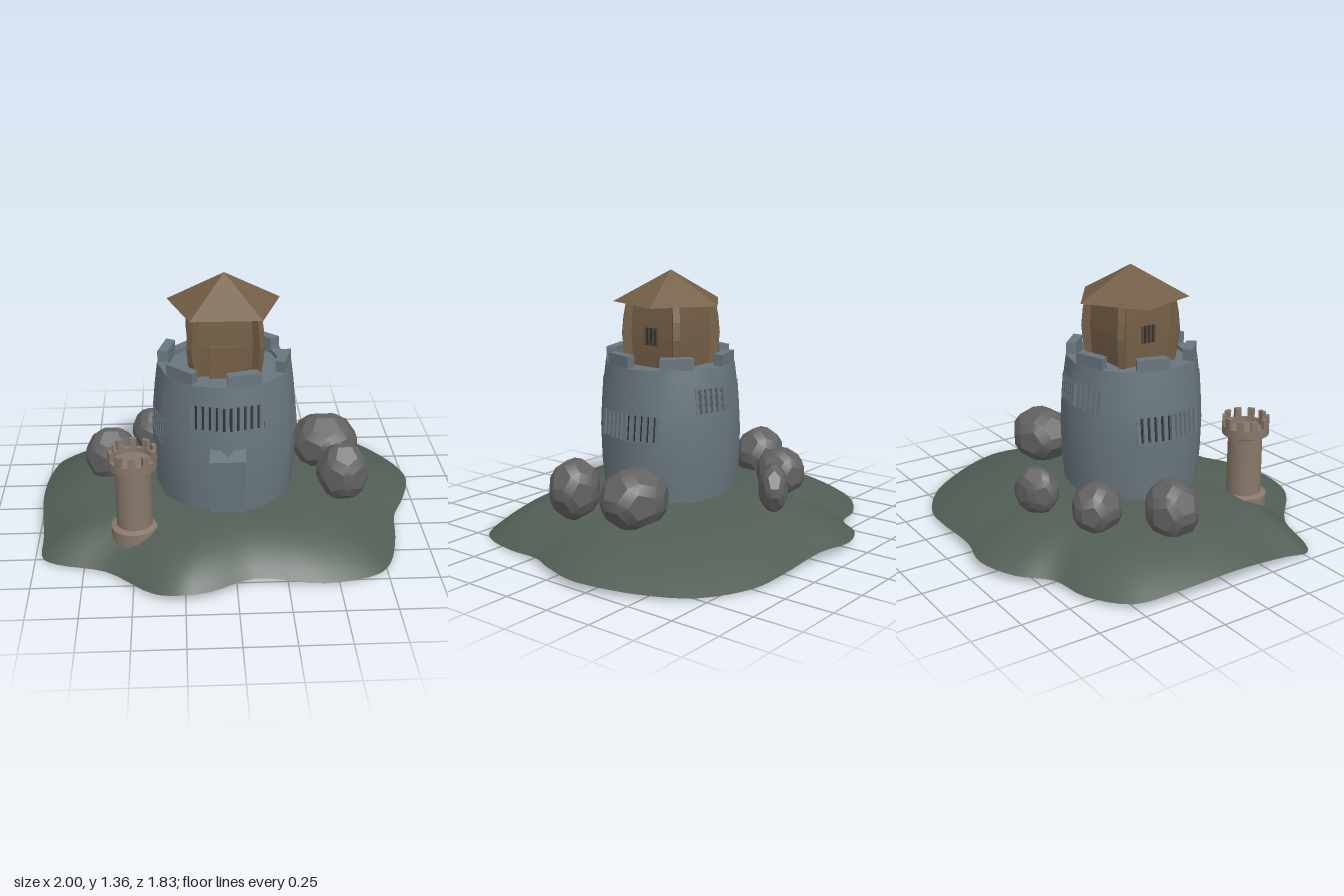
import * as THREE from 'three';
import { toCreasedNormals } from 'three/addons/utils/BufferGeometryUtils.js';
import { ConvexGeometry } from 'three/addons/geometries/ConvexGeometry.js';

const mat = (color, flat = false) =>
  new THREE.MeshStandardMaterial({ color, flatShading: flat, side: THREE.DoubleSide });
const grass = mat(0x525e55), stone = mat(0x69767e), dark = mat(0x2b3034), wood = mat(0x745f46, true);
const woodDark = mat(0x5c4a35, true), rockMat = mat(0x626262), clay = mat(0x87786b);

function add(parent, name, geo, material, x = 0, y = 0, z = 0) {
  const m = new THREE.Mesh(geo, material);
  m.name = name;
  m.position.set(x, y, z);
  parent.add(m);
  return m;
}

// Indexed grid of quads; point(i, j) gives [x, y, z], columns wrap around
function grid(cols, rows, point, skip = () => false) {
  const pos = [], idx = [];
  for (let j = 0; j < rows; j++) for (let i = 0; i < cols; i++) pos.push(...point(i, j));
  for (let j = 0; j < rows - 1; j++) for (let i = 0; i < cols; i++) {
    if (skip(i, j)) continue;
    const k = (i + 1) % cols;
    const a = j * cols + i, b = j * cols + k, c = b + cols, d = a + cols;
    idx.push(a, b, c, a, c, d);
  }
  const g = new THREE.BufferGeometry();
  g.setAttribute('position', new THREE.Float32BufferAttribute(pos, 3));
  g.setIndex(idx);
  g.computeVertexNormals();
  return g;
}

const vectors = (list) => list.map((p) => new THREE.Vector2(...p));
const polar = (r, a) => [r * Math.sin(a), r * Math.cos(a)];

// Flat outline pushed out to a depth, centred on z = 0
const slab = (outline, depth) =>
  new THREE.ExtrudeGeometry(new THREE.Shape(outline), { depth, bevelEnabled: false }).translate(0, 0, -depth / 2);

// Upright prism over a floor plan of [x, z] corners
function prism(plan, height, hole) {
  const flip = (list) => vectors(list.map(([x, z]) => [x, -z]));
  const s = new THREE.Shape(flip(plan));
  if (hole) s.holes.push(new THREE.Path(flip(hole)));
  return new THREE.ExtrudeGeometry(s, { depth: height, bevelEnabled: false }).rotateX(-Math.PI / 2);
}

// Hill: wavy rim [x, y, z] rising to a rounded plateau, steeper at the front left
function hill() {
  const rim = [
    [1, .04, -.15], [.98, .035, -.3], [.89, .02, -.51], [.75, .01, -.7], [.51, .015, -.84], [.33, .03, -.87],
    [0, .05, -.88], [-.2, .05, -.92], [-.4, .04, -.84], [-.53, .03, -.7], [-.72, .02, -.65], [-.92, .03, -.51],
    [-.98, .06, -.3], [-1, .08, .02], [-.97, .04, .35], [-.96, .015, .51], [-.88, .015, .57], [-.64, .02, .65],
    [-.4, .035, .87], [-.26, .05, .91], [-.13, .045, .88], [.09, .045, .78], [.42, .02, .8], [.7, .003, .71],
    [.78, .003, .61], [.84, .01, .4], [.87, .025, .2], [.94, .035, .05],
  ].map((p) => new THREE.Vector3(...p));
  const curve = new THREE.CatmullRomCurve3(rim, true);
  const cols = 112, rows = 18;
  const pts = Array.from({ length: cols }, (_, i) => curve.getPoint(1 - i / cols));
  return grid(cols, rows, (i, j) => {
    const s = Math.max(1 - j / (rows - 1), 0.002), p = pts[i];
    const power = 3.6 + 0.85 * (p.z - p.x) / Math.hypot(p.x, p.z);
    return [p.x * s, p.y + (0.22 - p.y) * (1 - s ** power), p.z * s];
  });
}

// Tower wall: twelve sides, slightly barrelled, window bays left open
const wallCurve = new THREE.SplineCurve(vectors([[.19, .353], [.35, .37], [.53, .372], [.7, .357], [.95, .335]]));
const wallR = (y) => wallCurve.getPoint((y - .19) / .76).y;
const levels = [.19, .35, .53, .66, .67, .79, .89];
const bays = [0, 1, 2, 3].map((q) => ({ turn: q * Math.PI / 2, col: q * 6, y0: q % 2 ? .53 : .67, y1: q % 2 ? .66 : .79 }));

function wall(inset, skip) {
  return toCreasedNormals(grid(24, levels.length, (i, j) => {
    const r = (wallR(levels[j]) - inset) * (i % 2 ? Math.cos(Math.PI / 12) : 1);
    const [x, z] = polar(r, i * Math.PI / 12);
    return [x, levels[j], z];
  }, skip), 0.6);
}

function tower() {
  const t = new THREE.Group();
  t.name = 'tower';
  t.position.set(-.03, 0, .083);
  add(t, 'towerWall', wall(0, (i, j) => bays.some((b) =>
    levels[j] >= b.y0 && levels[j + 1] <= b.y1 && (i - b.col + 26) % 24 < 4)), stone);
  add(t, 'towerInnerWall', wall(.045, (i, j) => j < 1), dark);

  // parapet walk and six merlons
  const ring = (r) => Array.from({ length: 12 }, (_, k) => polar(r, k * Math.PI / 6));
  add(t, 'parapetRim', prism(ring(.34), .03, ring(.285)), stone, 0, .86, 0);
  add(t, 'towerFloor', prism(ring(.3), .02), stone, 0, .85, 0);
  for (let k = 0; k < 12; k += 2) {
    const a = k * Math.PI / 6, b = a + Math.PI / 6;
    add(t, 'merlon', prism([polar(.338, a), polar(.338, b), polar(.285, b), polar(.285, a)], .062), stone, 0, .888, 0);
  }

  // barred windows, each wrapped around one corner of the wall
  for (const b of bays) {
    const w = new THREE.Group();
    w.name = 'barredWindow';
    w.rotation.y = b.turn;
    const ym = (b.y0 + b.y1) / 2, r = wallR(ym) - .008;
    for (let k = -5; k <= 5; k++) {
      const f = Math.abs(k) / 5.2, z = r * (1 - f * (1 - Math.cos(Math.PI / 6)));
      const bar = add(w, 'windowBar', new THREE.BoxGeometry(.02, b.y1 - b.y0 + .01, .018), stone, k / 5.2 * r / 2, ym, z);
      bar.rotation.set(-.09, Math.sign(k) * Math.PI / 12, 0);
    }
    t.add(w);
  }

  // doorway block leaning slightly out, with a sloped top
  const side = vectors([[.25, .2], [.349, .2], [.38, .51], [.362, .57], [.25, .57]]);
  add(t, 'towerDoor', slab(side, .18), stone).rotation.y = -Math.PI / 2;
  return t;
}

// Square wooden lookout with bowed corner posts and a five-sided roof
function lookout() {
  const g = new THREE.Group();
  g.name = 'lookout';
  g.position.set(-.03, 0, .075);
  const bow = [[.15, .86], [.156, .95], [.159, 1.03], [.156, 1.12], [.15, 1.21]];
  const profile = (offset, stretch) => vectors(bow.map(([h, y]) => [(.15 + (h - .15) * stretch + offset) * Math.SQRT2, y]));
  add(g, 'lookoutWall', new THREE.LatheGeometry(profile(0, 1), 4, Math.PI / 4), wood);

  const post = slab([...profile(.012, 2), ...profile(-.015, 1).reverse()], .035);
  for (let k = 0; k < 4; k++)
    add(g, 'cornerPost', post, wood).rotation.y = Math.PI / 4 + k * Math.PI / 2;

  add(g, 'lookoutRoof', new THREE.ConeGeometry(.3, .165, 5, 1, false, Math.PI), wood, 0, 1.2775, 0);
  const leaf = vectors([[-.083, .87], [.083, .87], [.076, 1.035], [-.076, 1.035]]);
  add(g, 'lookoutDoor', slab(leaf, .05), wood, 0, 0, .155);

  // small barred windows on the two side walls
  for (const s of [-1, 1]) {
    const w = new THREE.Group();
    w.name = 'lookoutWindow';
    w.rotation.y = s * Math.PI / 2;
    add(w, 'windowOpening', new THREE.BoxGeometry(.08, .09, .01), dark, 0, 1.03, .156);
    for (let k = -1.5; k <= 1.5; k++)
      add(w, 'windowBar', new THREE.BoxGeometry(.01, .09, .01), woodDark, k * .024, 1.03, .16);
    g.add(w);
  }
  return g;
}

// Small round turret
function turret() {
  const g = new THREE.Group();
  g.name = 'turret';
  g.position.set(-.495, 0, .475);
  const prof = vectors([[.118, .1], [.118, .185], [.09, .195], [.088, .5], [.12, .515], [.12, .56], [.1, .56], [.1, .535], [0, .535]]);
  add(g, 'turretBody', toCreasedNormals(new THREE.LatheGeometry(prof, 32), 0.6), clay);
  const n = 10, w = Math.PI / n / 2;
  for (let k = 0; k < n; k++) {
    const a = k * 2 * Math.PI / n, plan = [];
    for (const f of [-1, 0, 1]) plan.push(polar(.12, a + f * w));
    for (const f of [1, 0, -1]) plan.push(polar(.1, a + f * w));
    add(g, 'turretMerlon', prism(plan, .055), clay, 0, .555, 0);
  }
  return g;
}

// Boulder: dodecahedron with each five-sided face shrunk, then wrapped so the edges are bevelled
function boulderGeometry() {
  const p = new THREE.DodecahedronGeometry(1).attributes.position, pts = [];
  for (let f = 0; f < p.count; f += 9) {
    const corners = Array.from({ length: 9 }, (_, k) => new THREE.Vector3().fromBufferAttribute(p, f + k));
    const unique = corners.filter((c, k) => corners.findIndex((d) => d.distanceTo(c) < 1e-4) === k);
    const mid = unique.reduce((sum, c) => sum.add(c), new THREE.Vector3()).divideScalar(unique.length);
    for (const c of unique) pts.push(c.lerp(mid, .38).multiplyScalar(1.17));
  }
  return toCreasedNormals(new ConvexGeometry(pts), 0.45);
}

export function createModel() {
  const model = new THREE.Group();
  model.name = 'hilltopTower';
  add(model, 'hill', hill(), grass);
  model.add(tower(), lookout(), turret());

  // boulders: centre, half sizes, turn
  const boulders = [
    [-.63, .28, -.09, .14, .15, .13, 0],
    [-.405, .275, -.375, .12, .13, .13, .2],
    [-.095, .29, -.535, .115, .125, .075, .65],
    [.525, .31, -.14, .18, .15, .162, 0],
    [.58, .305, .205, .135, .155, .125, .1],
  ];
  const rockShape = boulderGeometry();
  for (const [x, y, z, a, b, c, turn] of boulders) {
    const rock = add(model, 'boulder', rockShape, rockMat, x, y, z);
    rock.scale.set(a, b, c);
    rock.rotation.y = turn;
  }
  return model;
}
